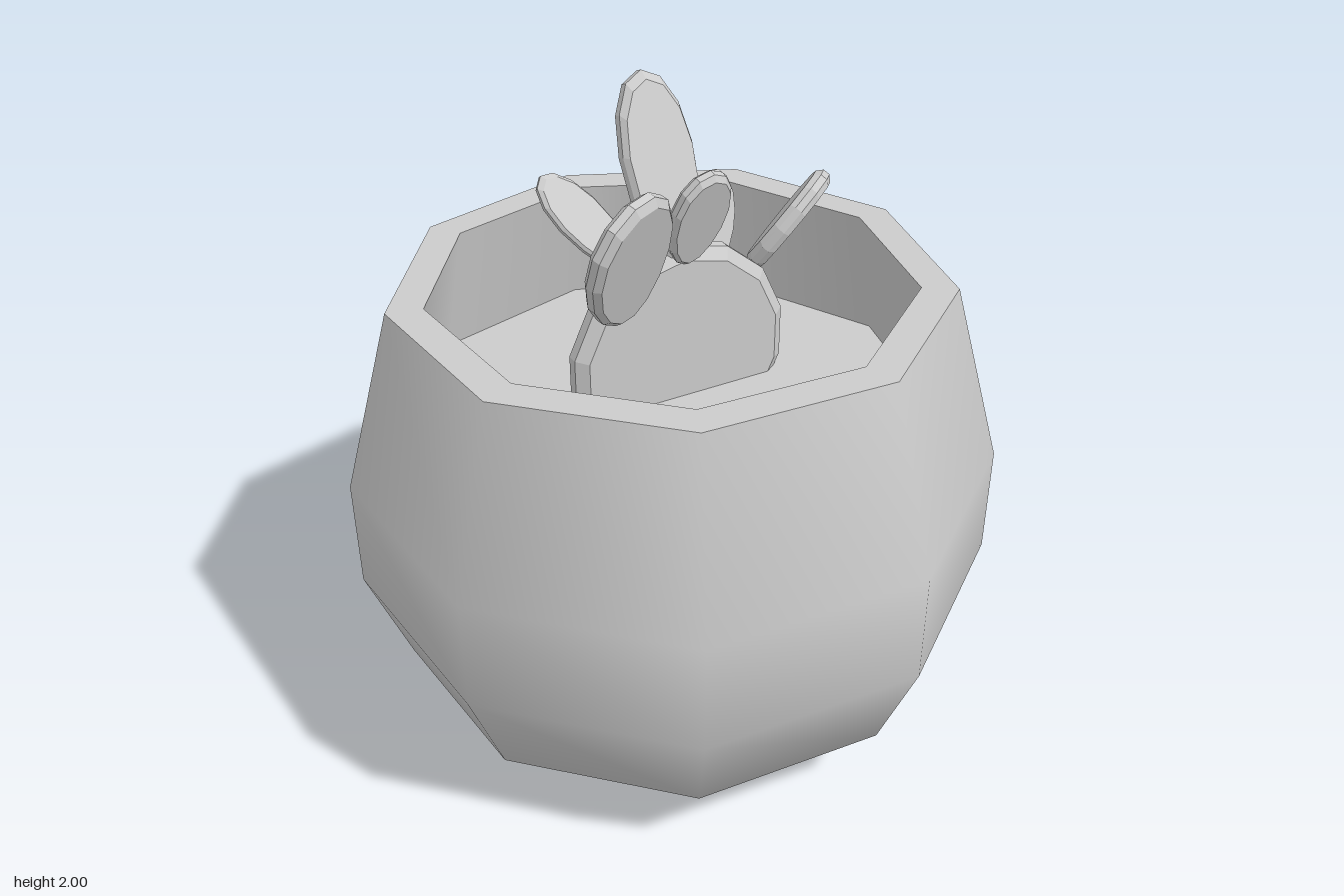
import * as THREE from 'three';

const material = new THREE.MeshStandardMaterial({ color: 0xcccccc });
const padMaterial = new THREE.MeshStandardMaterial({ color: 0xcccccc, flatShading: true });
const v3 = (a) => new THREE.Vector3(...a);

// nine-sided turned part of the pot; a corner points along +x
function turned(name, profile) {
  const points = profile.map(([r, y]) => new THREE.Vector2(r, y));
  const mesh = new THREE.Mesh(new THREE.LatheGeometry(points, 9, Math.PI / 2), material);
  mesh.name = name;
  mesh.position.x = -0.03;
  return mesh;
}

// flat egg-shaped cactus pad running from base to tip, widened along side
function pad(name, { base, tip, side, half, thick, taper = 0.15 }) {
  const profile = [[0, -1], [0.9, -1], [1, -0.4], [1, 0.4], [0.9, 1], [0, 1]];
  const geometry = new THREE.LatheGeometry(profile.map(([r, y]) => new THREE.Vector2(r, y)), 14);
  const from = v3(base), to = v3(tip);
  const axis = to.clone().sub(from);
  const length = axis.length() / 2;
  axis.normalize();
  const across = v3(side);
  across.addScaledVector(axis, -across.dot(axis)).normalize();
  const normal = axis.clone().cross(across);

  // narrow the lower end
  const p = geometry.attributes.position;
  for (let i = 0; i < p.count; i++) {
    const z = p.getZ(i);
    p.setXYZ(i, p.getX(i) * half * (1 + taper * z), p.getY(i) * thick, z * length);
  }
  geometry.applyMatrix4(new THREE.Matrix4().makeBasis(across, normal, axis));
  geometry.computeVertexNormals();
  const mesh = new THREE.Mesh(geometry, padMaterial);
  mesh.name = name;
  mesh.position.copy(from.add(to).multiplyScalar(0.5));
  return mesh;
}

export function createModel() {
  const model = new THREE.Group();
  model.name = 'pottedCactus';

  // pot, with crisp edges between the separate surfaces
  const pot = new THREE.Group();
  pot.name = 'pot';
  pot.add(
    turned('potBottom', [[0, 0], [0.482, 0]]),
    turned('potWall', [[0.482, 0], [0.855, 0.245], [0.98, 0.56], [0.98, 0.905], [0.822, 1.46]]),
    turned('potRim', [[0.822, 1.46], [0.714, 1.46]]),
    turned('potInside', [[0.714, 1.46], [0.79, 1.05]]),
    turned('soil', [[0.79, 1.05], [0, 1.05]]),
  );
  model.add(pot);

  // cactus: one broad pad in the soil with smaller ones growing from its edge
  const cactus = new THREE.Group();
  cactus.name = 'cactus';
  const pads = {
    mainPad: { base: [0.02, 0.8, -0.04], tip: [0.02, 1.54, -0.04], side: [1, 0, 0.11], half: 0.36, thick: 0.045, taper: 0 },
    tallBackPad: { base: [0.02, 1.46, -0.02], tip: [0.025, 2.0, -0.24], side: [1, 0, 0], half: 0.118, thick: 0.03 },
    leftFrontPad: { base: [-0.19, 1.39, 0], tip: [-0.3, 1.83, 0.21], side: [0.325, -0.05, -0.14], half: 0.165, thick: 0.03 },
    smallFrontPad: { base: [0.01, 1.5, 0], tip: [0.03, 1.81, 0.11], side: [1, 0, 0], half: 0.092, thick: 0.025 },
    rightPad: { base: [0.28, 1.4, -0.03], tip: [0.52, 1.66, 0.02], side: [-0.54, 0.39, 0.75], half: 0.105, thick: 0.028 },
    rightBackPad: { base: [0.16, 1.42, -0.06], tip: [0.25, 1.67, -0.17], side: [0.9, 0.05, -0.35], half: 0.085, thick: 0.02 },
    leftBackPad: { base: [-0.12, 1.48, -0.06], tip: [-0.29, 1.74, -0.28], side: [1, 0.38, -0.32], half: 0.075, thick: 0.016 },
  };
  for (const [name, spec] of Object.entries(pads)) cactus.add(pad(name, spec));
  model.add(cactus);
  return model;
}
